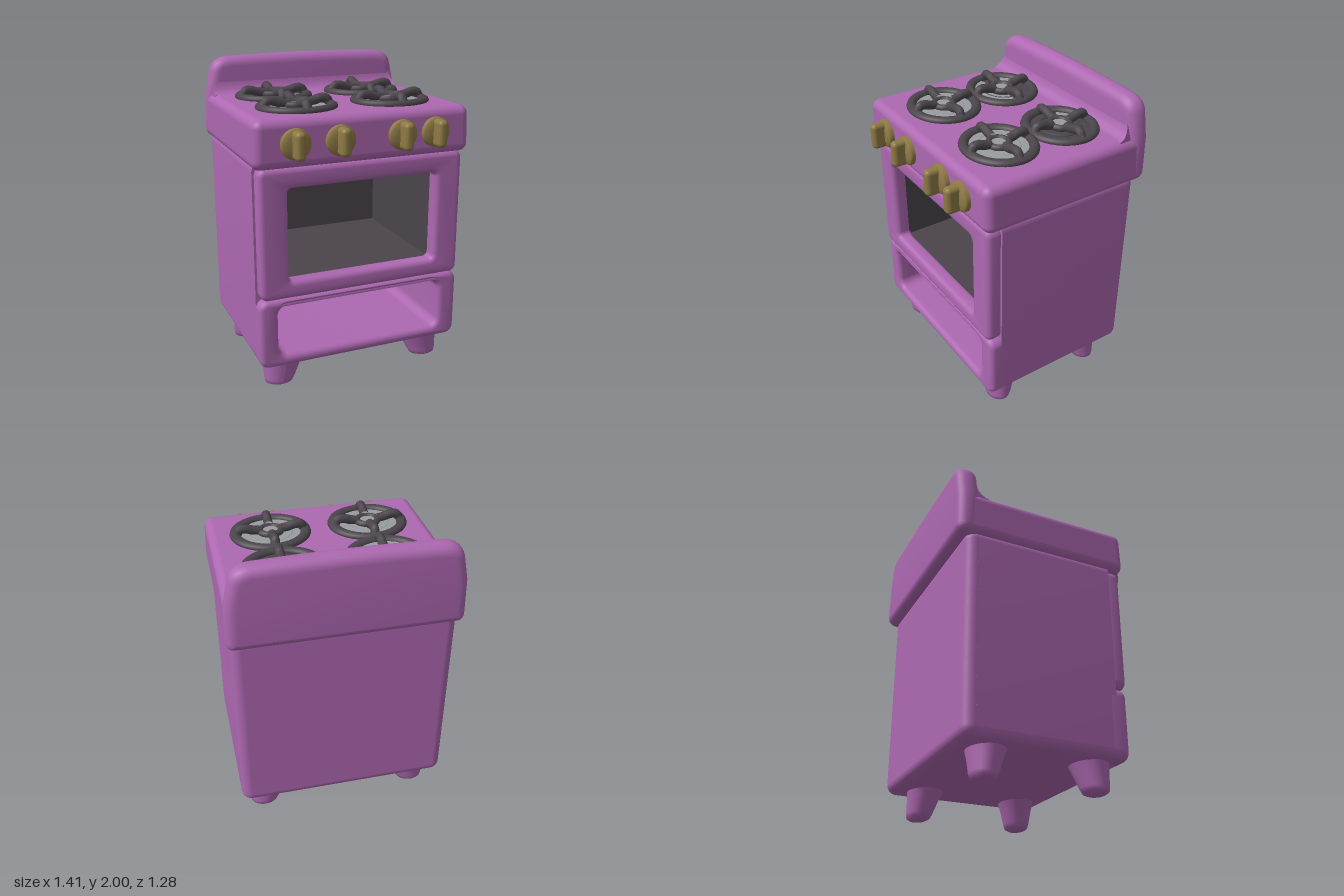
import * as THREE from 'three';
import { toCreasedNormals } from 'three/addons/utils/BufferGeometryUtils.js';
import { RoundedBoxGeometry } from 'three/addons/geometries/RoundedBoxGeometry.js';

const material = (name, color) => {
  const m = new THREE.MeshStandardMaterial({ color });
  m.name = name;
  return m;
};

// Rounded rectangle from its edges, as a Shape or a hole Path
function roundRect(x0, x1, y0, y1, r, Type = THREE.Shape) {
  const s = new Type();
  s.moveTo(x0 + r, y0);
  s.lineTo(x1 - r, y0);
  s.absarc(x1 - r, y0 + r, r, -Math.PI / 2, 0);
  s.lineTo(x1, y1 - r);
  s.absarc(x1 - r, y1 - r, r, 0, Math.PI / 2);
  s.lineTo(x0 + r, y1);
  s.absarc(x0 + r, y1 - r, r, Math.PI / 2, Math.PI);
  s.lineTo(x0, y0 + r);
  s.absarc(x0 + r, y0 + r, r, Math.PI, Math.PI * 1.5);
  return s;
}

// Extrude a front outline between two depths, with soft edges of size b
function slab(shape, z0, z1, b = 0) {
  const g = new THREE.ExtrudeGeometry(shape, {
    depth: z1 - z0 - 2 * b, bevelEnabled: b > 0, bevelSize: b, bevelThickness: b,
    bevelOffset: -b, bevelSegments: 5, curveSegments: 8,
  });
  g.translate(0, 0, z0 + b);
  return toCreasedNormals(g, 0.7);
}

export function createModel() {
  const enamel = material('purple enamel', 0xad68b1);
  const iron = material('dark iron', 0x4b454b);
  const steel = material('grey steel', 0x999ca0);
  const brass = material('brass', 0x8e7a45);
  const model = new THREE.Group();
  model.name = 'stove';
  const add = (parent, name, geometry, mat, x = 0, y = 0, z = 0) => {
    const mesh = new THREE.Mesh(geometry, mat);
    mesh.name = name;
    mesh.position.set(x, y, z);
    parent.add(mesh);
    return mesh;
  };
  const drawerHole = () => roundRect(-0.56, 0.55, 0.26, 0.59, 0.06, THREE.Path);

  // Cabinet: hollow shell, closed back, door and drawer fronts
  const shell = roundRect(-0.683, 0.683, 0.185, 1.5, 0.065);
  shell.holes.push(roundRect(-0.52, 0.52, 0.72, 1.37, 0.01, THREE.Path), drawerHole());
  add(model, 'cabinetShell', slab(shell, -0.5, 0.41), enamel);
  add(model, 'cabinetBack', new RoundedBoxGeometry(1.366, 1.315, 0.135, 6, 0.065), enamel, 0, 0.8425, -0.505);

  const door = roundRect(-0.672, 0.672, 0.643, 1.465, 0.05);
  door.holes.push(roundRect(-0.49, 0.49, 0.755, 1.335, 0.03, THREE.Path));
  add(model, 'ovenDoor', slab(door, 0.39, 0.5, 0.035), enamel);

  const drawer = roundRect(-0.683, 0.683, 0.185, 0.638, 0.06);
  drawer.holes.push(drawerHole());
  add(model, 'drawerFront', slab(drawer, 0.34, 0.485, 0.035), enamel);

  // Oven lining: a box turned inside out, without its front
  const lining = new THREE.BoxGeometry(0.99, 0.59, 0.855);
  lining.scale(1, 1, -1);
  lining.setIndex(Array.from(lining.index.array).slice(0, 30));
  lining.clearGroups();
  lining.computeVertexNormals();
  add(model, 'ovenLining', lining, iron, 0, 1.045, 0);

  // Cooktop, slightly narrower towards the top
  const top = new RoundedBoxGeometry(1.41, 0.293, 1.155, 6, 0.055);
  const p = top.attributes.position;
  for (let i = 0; i < p.count; i++) p.setX(i, p.getX(i) * (0.993 - 0.06 * p.getY(i)));
  add(model, 'cooktop', top, enamel, 0, 1.6055, -0.055);

  // Splashback with a soft cove where it meets the cooktop
  const back = new THREE.Shape();
  back.moveTo(-0.65, 1.46);
  back.lineTo(0.65, 1.46);
  back.quadraticCurveTo(0.705, 1.46, 0.705, 1.52);
  back.lineTo(0.698, 1.74);
  back.lineTo(0.665, 1.9);
  back.quadraticCurveTo(0.645, 1.985, 0.54, 1.99);
  back.quadraticCurveTo(0, 2.01, -0.54, 1.99);
  back.quadraticCurveTo(-0.645, 1.985, -0.665, 1.9);
  back.lineTo(-0.698, 1.74);
  back.lineTo(-0.705, 1.52);
  back.quadraticCurveTo(-0.705, 1.46, -0.65, 1.46);
  add(model, 'splashback', slab(back, -0.637, -0.497, 0.06), enamel);

  const cove = new THREE.Shape();
  cove.moveTo(-0.03, -0.04);
  cove.lineTo(0.07, -0.04);
  cove.lineTo(0.07, 0);
  cove.quadraticCurveTo(0.015, 0.01, 0, 0.09);
  cove.lineTo(-0.03, 0.09);
  const coveGeo = slab(cove, -0.668, 0.668);
  coveGeo.rotateY(-Math.PI / 2);
  const c = coveGeo.attributes.position;
  for (let i = 0; i < c.count; i++) c.setX(i, c.getX(i) * (1 - 0.5 * c.getY(i)));
  add(model, 'splashbackCove', coveGeo, enamel, 0, 1.75, -0.5);

  // Burners: dark pan, steel patches, ring, hub and four arched fingers
  const ring = new THREE.TorusGeometry(0.222, 0.034, 10, 40).rotateX(Math.PI / 2).scale(1, 0.75, 1);
  const inner = new THREE.TorusGeometry(0.135, 0.008, 6, 32).rotateX(Math.PI / 2);
  const hub = new THREE.TorusGeometry(0.065, 0.022, 8, 28).rotateX(Math.PI / 2);
  const pan = new THREE.CircleGeometry(0.22, 40).rotateX(-Math.PI / 2);
  const cap = new THREE.CylinderGeometry(0.047, 0.047, 0.03, 24);
  const finger = new THREE.TubeGeometry(new THREE.CatmullRomCurve3([
    [0.065, 0.026], [0.11, 0.034], [0.15, 0.046], [0.19, 0.045], [0.21, 0.018],
  ].map(([x, y]) => new THREE.Vector3(x, y, 0))), 16, 0.029, 10);
  const tip = new THREE.SphereGeometry(0.029, 10, 8);
  // Steel patches as start angle, sweep, inner and outer radius
  const full = [[0, 360, 0.07, 0.19]];
  const burners = [
    ['frontRightBurner', -0.318, 0.183, steel, full],
    ['frontLeftBurner', 0.308, 0.183, steel, full],
    ['rearRightBurner', -0.318, -0.26, iron, [[195, 160, 0.1, 0.19], [118, 30, 0.14, 0.19]]],
    ['rearLeftBurner', 0.308, -0.26, iron, [[104, 44, 0.09, 0.18]]],
  ];
  for (const [name, x, z, ringMat, patches] of burners) {
    const b = new THREE.Group();
    b.name = name;
    b.position.set(x, 1.753, z);
    b.scale.z = 0.9;
    model.add(b);
    add(b, 'pan', pan, iron, 0, 0.002, 0);
    for (const [start, sweep, r0, r1] of patches) {
      const patch = new THREE.RingGeometry(r0, r1, 36, 1,
        THREE.MathUtils.degToRad(start), THREE.MathUtils.degToRad(sweep)).rotateX(-Math.PI / 2);
      add(b, 'steelPan', patch, steel, 0, 0.008, 0);
    }
    add(b, 'grateRing', ring, iron, 0, 0.006, 0);
    add(b, 'panRing', inner, ringMat, 0, 0.003, 0);
    add(b, 'hub', hub, iron, 0, 0.018, 0);
    add(b, 'cap', cap, steel, 0, 0.012, 0);
    for (let i = 0; i < 4; i++) {
      const arm = new THREE.Group();
      arm.name = 'grateFinger';
      arm.rotation.y = i * Math.PI / 2;
      b.add(arm);
      add(arm, 'bar', finger, iron);
      add(arm, 'tip', tip, iron, 0.21, 0.018, 0);
    }
  }

  // Knobs: round base with a raised grip
  const base = new THREE.LatheGeometry([
    [0.092, -0.02], [0.092, 0.018], [0.084, 0.03], [0.05, 0.038], [0, 0.04],
  ].map(([r, y]) => new THREE.Vector2(r, y)), 32).rotateX(Math.PI / 2);
  const grip = new RoundedBoxGeometry(0.064, 0.17, 0.11, 4, 0.028);
  for (const x of [-0.452, -0.175, 0.227, 0.452]) {
    const knob = new THREE.Group();
    knob.name = 'knob';
    knob.position.set(x, 1.607, 0.525);
    model.add(knob);
    add(knob, 'knobBase', base, brass);
    add(knob, 'knobGrip', grip, brass, 0, 0, 0.058);
  }

  // Feet: tapered, leaning outwards towards the floor
  const profile = [[0, 0.005], [0.06, 0.005], [0.085, 0.018], [0.095, 0.045], [0.117, 0.14], [0.14, 0.21]]
    .map(([r, y]) => new THREE.Vector2(r, y));
  for (const sx of [-1, 1]) {
    for (const [name, z, lean] of [['frontFoot', 0.335, -0.12], ['rearFoot', -0.385, 0.16]]) {
      const g = new THREE.LatheGeometry(profile, 28);
      const q = g.attributes.position;
      for (let i = 0; i < q.count; i++) {
        const y = q.getY(i);
        q.setX(i, q.getX(i) * 1.07 - sx * 0.2 * y);
        q.setZ(i, q.getZ(i) * 0.87 + lean * y);
      }
      g.computeVertexNormals();
      add(model, name, g, enamel, sx * 0.525, 0, z);
    }
  }
  return model;
}
